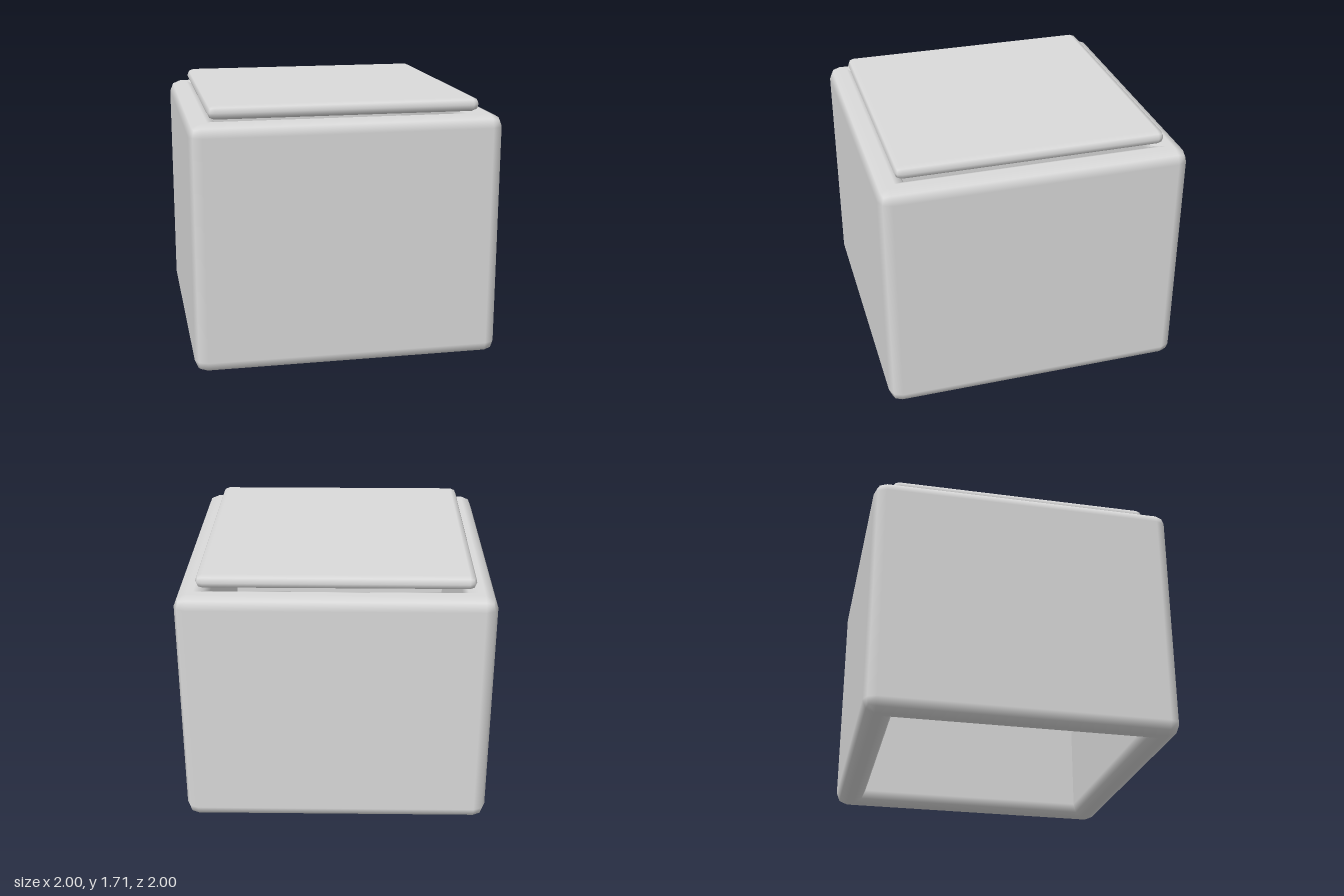
import * as THREE from 'three';

const HEIGHT = 1.61, WALL = 0.2, BEVEL = 0.08, LID = 0.09, LID_SIZE = 1.745;

// Box whose edges are rounded in two steps, with smooth normals
function softBox(width, height, depth, radius) {
  const geometry = new THREE.BoxGeometry(2, 2, 2, 3, 3, 3);
  const { position, normal } = geometry.attributes;
  const core = new THREE.Vector3(width, height, depth).multiplyScalar(0.5).subScalar(radius);
  const p = new THREE.Vector3(), dir = new THREE.Vector3();
  for (let i = 0; i < position.count; i++) {
    p.fromBufferAttribute(position, i);
    // Outer grid lines become the bevel, inner ones border the flat faces
    dir.set(Math.trunc(p.x * 1.001), Math.trunc(p.y * 1.001), Math.trunc(p.z * 1.001)).normalize();
    p.set(Math.sign(p.x), Math.sign(p.y), Math.sign(p.z)).multiply(core).addScaledVector(dir, radius);
    position.setXYZ(i, p.x, p.y, p.z);
    normal.setXYZ(i, dir.x, dir.y, dir.z);
  }
  return geometry;
}

export function createModel() {
  const model = new THREE.Group();
  model.name = 'liddedBox';
  const grey = new THREE.MeshStandardMaterial({ color: 0xdadada });
  grey.name = 'light grey';

  // Four round-edged wall panels crossing at the corners, open above and below
  const panel = softBox(2, HEIGHT, WALL, BEVEL);
  ['frontWall', 'leftWall', 'backWall', 'rightWall'].forEach((name, i) => {
    const wall = new THREE.Mesh(panel, grey);
    const angle = i * Math.PI / 2, offset = 1 - WALL / 2;
    wall.name = name;
    wall.rotation.y = angle;
    wall.position.set(Math.sin(angle) * offset, HEIGHT / 2, Math.cos(angle) * offset);
    model.add(wall);
  });

  // Thin lid over the opening
  const lid = new THREE.Mesh(softBox(LID_SIZE, LID, LID_SIZE, LID / 2), grey);
  lid.name = 'lid';
  lid.position.y = HEIGHT + 0.005 + LID / 2;
  model.add(lid);

  return model;
}
